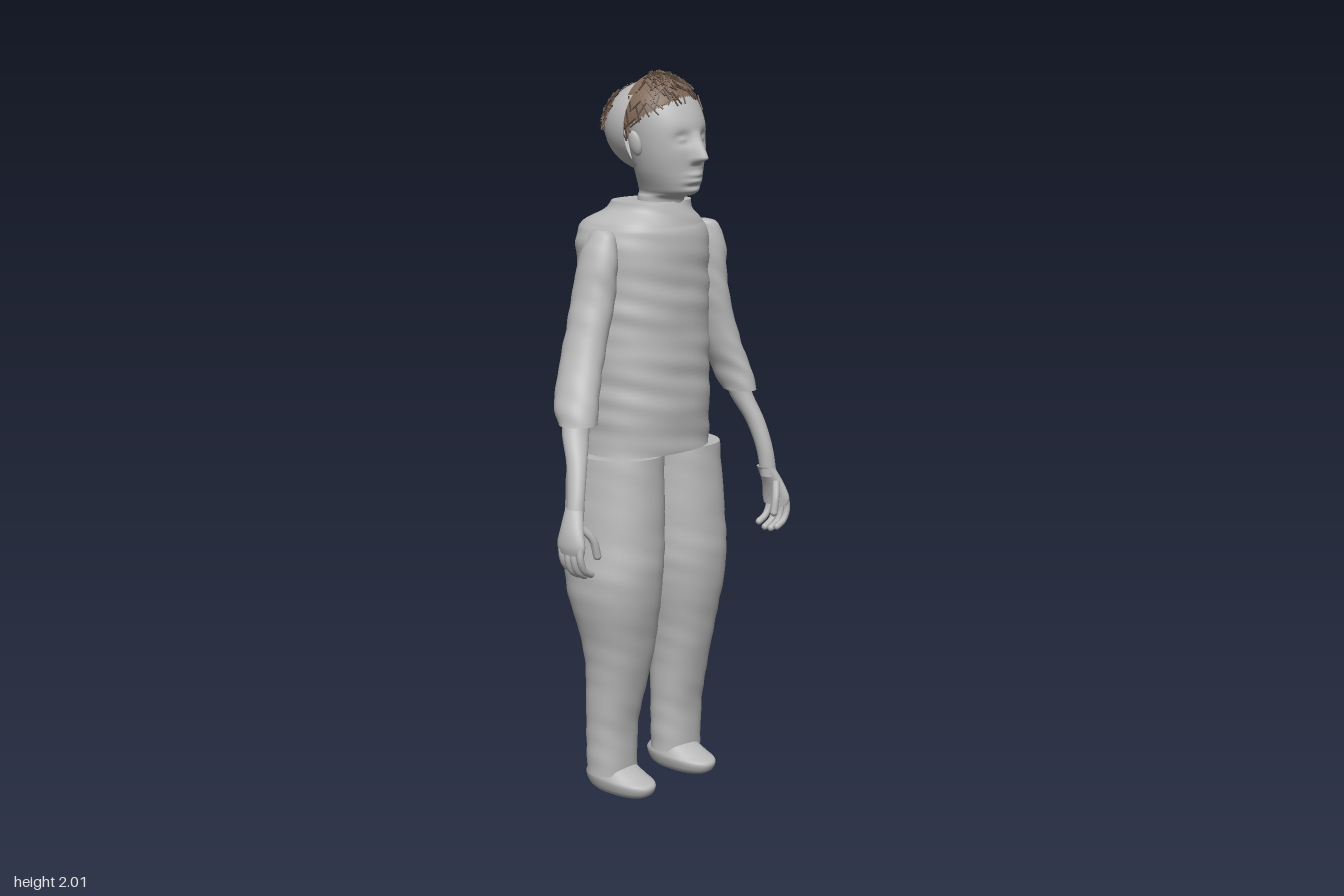
import * as THREE from 'three';

const grey = new THREE.MeshStandardMaterial({ color: 0xb9b9b9 });
grey.name = 'plain grey';
const greyShell = new THREE.MeshStandardMaterial({ color: 0xb9b9b9, side: THREE.DoubleSide });
greyShell.name = 'plain grey shell';
const brown = new THREE.MeshStandardMaterial({ color: 0x7d6656, side: THREE.DoubleSide });
brown.name = 'hair brown';
const darkBrown = new THREE.MeshStandardMaterial({ color: 0x55453a, side: THREE.DoubleSide });
darkBrown.name = 'dark hair brown';

const MID = 0.07; // x of the head's centre line
const bell = (d, s) => Math.exp(-((d / s) ** 2));

// Closed body through oval sections [y, xMin, xMax, zMin, zMax], lowest first
function loft(sections, { rows = 32, sides = 40, square = 1, warp } = {}) {
  const curves = [1, 2, 3, 4].map(
    (k) => new THREE.SplineCurve(sections.map((s) => new THREE.Vector2(s[0], s[k]))));
  const pos = [], index = [], p = new THREE.Vector3();
  for (let i = 0; i <= rows; i++) {
    const pts = curves.map((c) => c.getPoint(i / rows));
    const [x0, x1, z0, z1] = pts.map((q) => q.y);
    for (let j = 0; j < sides; j++) {
      const a = (j / sides) * Math.PI * 2, c = Math.cos(a), s = Math.sin(a);
      p.set((x0 + x1) / 2 + ((x1 - x0) / 2) * Math.sign(c) * Math.abs(c) ** square, pts[0].x,
        (z0 + z1) / 2 + ((z1 - z0) / 2) * Math.sign(s) * Math.abs(s) ** square);
      if (warp) warp(p, c, s);
      pos.push(p.x, p.y, p.z);
      if (i < rows) {
        const n = (j + 1) % sides, lo = i * sides, hi = lo + sides;
        index.push(lo + j, hi + j, lo + n, hi + j, hi + n, lo + n);
      }
    }
  }
  // End caps with their own vertices, so the rims stay sharp
  for (const row of [0, rows]) {
    const ring = pos.slice(row * sides * 3, (row + 1) * sides * 3), base = pos.length / 3;
    const mean = [0, 0, 0];
    ring.forEach((v, k) => { mean[k % 3] += v / sides; });
    pos.push(...ring, ...mean);
    for (let j = 0; j < sides; j++) {
      const n = (j + 1) % sides;
      if (row) index.push(base + sides, base + n, base + j);
      else index.push(base + sides, base + j, base + n);
    }
  }
  const g = new THREE.BufferGeometry();
  g.setAttribute('position', new THREE.Float32BufferAttribute(pos, 3));
  g.setIndex(index);
  g.computeVertexNormals();
  return g;
}

function add(parent, name, geometry, material = grey) {
  const mesh = new THREE.Mesh(geometry, material);
  mesh.name = name;
  parent.add(mesh);
  return mesh;
}

// Soft cloth folds
const folds = (amount) => (p, c, s) => {
  const w = amount * (Math.sin(p.y * 62 + 2 * c + s) * Math.sin(p.y * 17 + c * 3) + 0.5 * Math.sin(p.y * 105 + c * 4));
  p.x += c * w;
  p.z += s * w;
};

// Nose, eyes, lips and chin pushed out of the front of the head
function face(p, c, s) {
  if (s <= 0) return;
  const dx = p.x - MID, y = p.y;
  const slope = y > 1.775 ? Math.max(0, 1 - (y - 1.775) / 0.075) : Math.max(0, 1 - (1.775 - y) / 0.017);
  let d = 0.04 * slope * bell(dx, 0.015);
  d += 0.008 * slope * bell(Math.abs(dx) - 0.016, 0.01);
  d -= 0.014 * bell(Math.abs(dx) - 0.042, 0.022) * bell(y - 1.828, 0.018);
  d += 0.009 * bell(Math.abs(dx) - 0.042, 0.013) * bell(y - 1.826, 0.008);
  d += 0.008 * bell(dx, 0.03) * (bell(y - 1.731, 0.008) + bell(y - 1.713, 0.008));
  d -= 0.007 * bell(dx, 0.035) * bell(y - 1.7, 0.008);
  p.z += d * s;
}

// Ellipsoid patch; theta range depends on the angle phi around the head
function headPatch(center, radii, phi0, phiLen, top, bottom) {
  const g = new THREE.SphereGeometry(1, 40, 20, phi0, phiLen, 0, Math.PI);
  const p = g.attributes.position, uv = g.attributes.uv;
  for (let i = 0; i < p.count; i++) {
    const u = Math.min(1, Math.max(0, uv.getX(i))), phi = phi0 + u * phiLen;
    const t = top(u) + (1 - uv.getY(i)) * (bottom(u) - top(u));
    p.setXYZ(i, center[0] - radii[0] * Math.cos(phi) * Math.sin(t),
      center[1] + radii[1] * Math.cos(t), center[2] + radii[2] * Math.sin(phi) * Math.sin(t));
  }
  g.computeVertexNormals();
  return g;
}

let seed = 7;
const rand = () => (seed = (seed * 16807) % 2147483647) / 2147483647;

// Short flat locks lying over a hair patch
function locks(parent, patch, count) {
  const p = patch.attributes.position, n = patch.attributes.normal;
  const geometry = new THREE.BoxGeometry(0.0035, 0.042, 0.003);
  for (let k = 0; k < count; k++) {
    const i = Math.floor(rand() * p.count);
    const normal = new THREE.Vector3().fromBufferAttribute(n, i);
    const lock = add(parent, 'hairLock', geometry, k % 3 ? darkBrown : brown);
    lock.position.fromBufferAttribute(p, i).addScaledVector(normal, 0.002);
    lock.lookAt(lock.position.clone().add(normal));
    lock.rotateZ((rand() - 0.5) * 2);
    lock.rotateX((rand() - 0.5) * 0.3);
  }
}

// Palm, four curled fingers and a thumb; side is -1 for the right hand
function hand(side) {
  const g = new THREE.Group();
  g.name = side < 0 ? 'rightHand' : 'leftHand';
  add(g, 'palm', loft([[0.775, 0.41, 0.443, 0.105, 0.19], [0.8, 0.408, 0.447, 0.1, 0.195],
    [0.84, 0.398, 0.44, 0.105, 0.18], [0.89, 0.375, 0.42, 0.105, 0.158]], { rows: 12, sides: 20 }));
  const finger = (name, points, r) => {
    const path = new THREE.CatmullRomCurve3(points.map((q) => new THREE.Vector3(...q)));
    add(g, name, new THREE.TubeGeometry(path, 12, r, 8));
    add(g, name + 'Tip', new THREE.SphereGeometry(r, 8, 6)).position.set(...points.at(-1));
  };
  for (let i = 0; i < 4; i++) {
    const z = 0.116 + i * 0.022, drop = [0.012, 0, 0, 0.008][i];
    finger('finger', [[0.43, 0.8, z], [0.432, 0.757 + drop, z + 0.003],
      [0.418, 0.727 + drop, z + 0.002], [0.39, 0.711 + drop, z]], 0.0098);
  }
  finger('thumb', [[0.405, 0.845, 0.165], [0.382, 0.81, 0.183], [0.37, 0.765, 0.187]], 0.011);
  if (side < 0) g.children.forEach((m) => {
    // True mirror: flip x and the triangle order
    m.geometry.scale(-1, 1, 1);
    m.position.x *= -1;
    const ix = m.geometry.index;
    for (let k = 0; k < ix.count; k += 3) {
      const a = ix.getX(k);
      ix.setX(k, ix.getX(k + 2));
      ix.setX(k + 2, a);
    }
  });
  else g.position.y = -0.022;
  return g;
}

export function createModel() {
  const model = new THREE.Group();
  model.name = 'standingFigure';

  // Shirt body
  add(model, 'shirt', loft([[0.968, -0.155, 0.24, -0.155, 0.128], [1.1, -0.148, 0.238, -0.163, 0.133],
    [1.25, -0.142, 0.24, -0.172, 0.128], [1.4, -0.135, 0.243, -0.187, 0.125],
    [1.55, -0.13, 0.246, -0.2, 0.12], [1.595, -0.112, 0.225, -0.185, 0.108],
    [1.63, -0.065, 0.185, -0.13, 0.09], [1.655, -0.05, 0.175, -0.105, 0.08]],
  { rows: 90, sides: 56, square: 0.85, warp: folds(0.0025) }));

  // Sleeves
  const depth = [[0.005, 0.11], [-0.03, 0.1], [-0.05, 0.075], [-0.063, 0.062], [-0.06, 0.06], [-0.035, 0.045], [-0.012, 0.022]];
  const sleeve = (name, rows) => add(model, name,
    loft(rows.map((r, i) => [...r, ...depth[i]]), { rows: 50, warp: folds(0.0015) }));
  sleeve('rightSleeve', [[1.09, -0.357, -0.255], [1.15, -0.342, -0.232], [1.25, -0.295, -0.187],
    [1.4, -0.24, -0.13], [1.5, -0.213, -0.12], [1.57, -0.185, -0.123], [1.59, -0.167, -0.135]]);
  sleeve('leftSleeve', [[1.09, 0.325, 0.408], [1.15, 0.31, 0.402], [1.25, 0.277, 0.375],
    [1.4, 0.243, 0.338], [1.5, 0.235, 0.333], [1.57, 0.236, 0.306], [1.585, 0.246, 0.28]]);

  // Forearms and hands
  add(model, 'rightForearm', loft([[0.86, -0.427, -0.38, 0.115, 0.162], [0.92, -0.41, -0.366, 0.103, 0.153],
    [1.0, -0.383, -0.33, 0.072, 0.13], [1.07, -0.36, -0.285, 0.03, 0.1], [1.12, -0.34, -0.265, 0.02, 0.085]]));
  add(model, 'leftForearm', loft([[0.84, 0.38, 0.428, 0.115, 0.162], [0.92, 0.373, 0.42, 0.103, 0.153],
    [1.0, 0.36, 0.412, 0.072, 0.13], [1.07, 0.338, 0.4, 0.03, 0.1], [1.12, 0.325, 0.39, 0.02, 0.085]]));
  model.add(hand(-1), hand(1));

  // Trouser legs
  const legDepth = [[0.055, -0.062, 0.062], [0.2, -0.066, 0.066], [0.4, -0.076, 0.105],
    [0.6, -0.125, 0.14], [0.75, -0.145, 0.138], [0.968, -0.16, 0.124]];
  const leg = (name, xs) => add(model, name,
    loft(legDepth.map(([y, z0, z1], i) => [y, ...xs[i], z0, z1]), { rows: 60, square: 0.9, warp: folds(0.001) }));
  leg('rightTrouserLeg', [[-0.19, -0.037], [-0.19, -0.033], [-0.2, 0], [-0.238, 0.015], [-0.222, 0.028], [-0.195, 0.037]]);
  leg('leftTrouserLeg', [[0.08, 0.238], [0.08, 0.243], [0.072, 0.253], [0.04, 0.286], [0.035, 0.288], [0.037, 0.275]]);

  // Shoes
  for (const [name, x] of [['rightShoe', -0.112], ['leftShoe', 0.147]]) {
    add(model, name, loft([[0, x - 0.045, x + 0.045, -0.06, 0.125], [0.012, x - 0.055, x + 0.055, -0.075, 0.143],
      [0.035, x - 0.062, x + 0.062, -0.085, 0.148], [0.05, x - 0.06, x + 0.06, -0.08, 0.115],
      [0.08, x - 0.05, x + 0.05, -0.052, 0.05]], { rows: 20, square: 0.9 }));
  }

  // Neck and face
  const head = new THREE.Group();
  head.name = 'head';
  model.add(head);
  add(head, 'neckAndFace', loft([[1.62, 0.008, 0.132, -0.05, 0.08], [1.662, 0.01, 0.13, -0.05, 0.085],
    [1.676, 0.012, 0.128, -0.05, 0.125], [1.692, 0.005, 0.135, -0.05, 0.143], [1.74, -0.016, 0.156, -0.055, 0.145],
    [1.8, -0.031, 0.171, -0.065, 0.147], [1.87, -0.038, 0.178, -0.08, 0.14], [1.93, -0.03, 0.17, -0.07, 0.108],
    [1.97, -0.002, 0.142, -0.05, 0.07], [1.987, 0.045, 0.095, -0.01, 0.035]],
  { rows: 130, sides: 96, warp: face }));
  for (const s of [-1, 1]) {
    const ear = add(head, s < 0 ? 'rightEar' : 'leftEar', new THREE.SphereGeometry(1, 16, 12));
    ear.scale.set(0.012, 0.035, 0.02);
    ear.position.set(MID + s * 0.108, 1.815, 0.02);
    ear.rotation.set(-0.15, 0, -s * 0.2);
  }

  // Half shell covering the back of the head
  const shell = headPatch([MID, 1.855, 0.006], [0.14, 0.128, 0.152], Math.PI, Math.PI, () => 0.02, () => 2.9);
  add(head, 'backHeadShell', shell, greyShell);

  // Hair: front cap with a raised hairline, and a patch on the back
  const cap = headPatch([MID, 1.868, 0], [0.124, 0.13, 0.128], -0.12, Math.PI + 0.24,
    () => 0.12, (u) => 1.02 + 0.8 * Math.abs(2 * u - 1) ** 1.6);
  add(head, 'frontHair', cap, brown);
  locks(head, cap, 130);
  const patch = headPatch([MID, 1.855, 0.004], [0.143, 0.131, 0.155], Math.PI + 0.5, Math.PI - 1,
    (u) => 0.62 + 0.35 * Math.abs(2 * u - 1), (u) => 1.65 - 0.2 * Math.abs(2 * u - 1));
  add(head, 'backHair', patch, brown);
  locks(head, patch, 110);

  return model;
}
